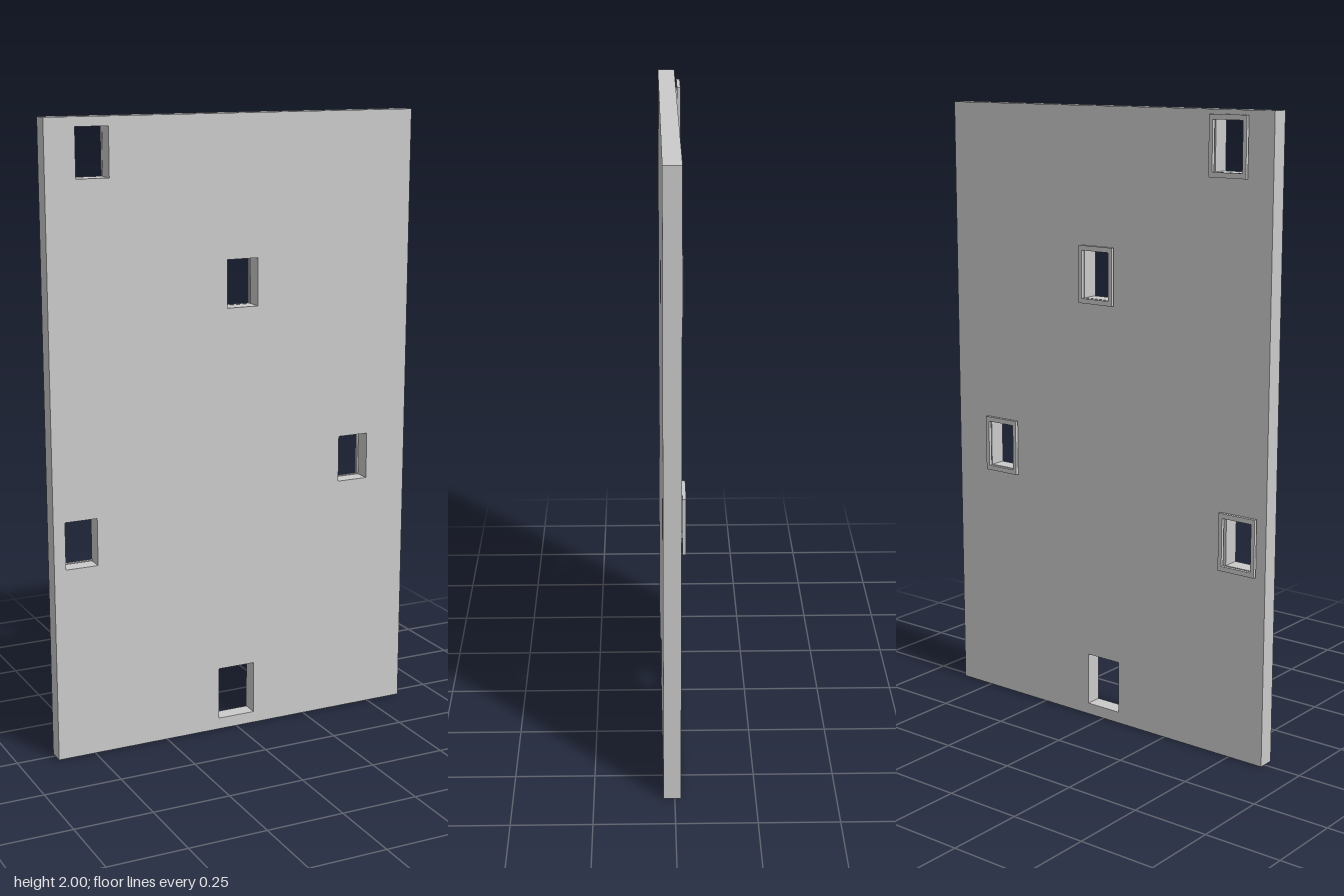
import * as THREE from 'three';

const material = new THREE.MeshStandardMaterial({ color: 0xcccccc, flatShading: true });

// Rectangle outline from centre and size
function rect(Type, x, y, w, h) {
  const p = new Type();
  p.moveTo(x - w / 2, y - h / 2);
  p.lineTo(x + w / 2, y - h / 2);
  p.lineTo(x + w / 2, y + h / 2);
  p.lineTo(x - w / 2, y + h / 2);
  p.closePath();
  return p;
}

// Flat slab between two depths, with rectangular openings
function slab(name, shape, z0, z1) {
  const geo = new THREE.ExtrudeGeometry(shape, { depth: z1 - z0, bevelEnabled: false });
  geo.translate(0, 0, z0);
  const mesh = new THREE.Mesh(geo, material);
  mesh.name = name;
  return mesh;
}

export function createModel() {
  const group = new THREE.Group();
  group.name = 'wallPanel';

  // Window openings: centre x, centre y, and centre x of the frame behind
  const windows = [
    [-0.473, 1.895, -0.472],
    [0.022, 1.477, 0.021],
    [0.427, 0.871, 0.425],
    [-0.532, 0.7, -0.526],
  ];

  // Wall with four windows and a larger low opening
  const wall = rect(THREE.Shape, 0, 1, 1.246, 2);
  for (const [x, y] of windows) wall.holes.push(rect(THREE.Path, x, y, 0.106, 0.152));
  wall.holes.push(rect(THREE.Path, 0, 0.124, 0.127, 0.173));
  group.add(slab('wall', wall, -0.019, 0.035));

  // Thin frames standing just off the back of the wall
  windows.forEach(([, y, x], i) => {
    const frame = rect(THREE.Shape, x, y, 0.132, 0.183);
    frame.holes.push(rect(THREE.Path, x, y, 0.106, 0.152));
    group.add(slab('windowFrame' + (i + 1), frame, -0.035, -0.024));
  });

  return group;
}
